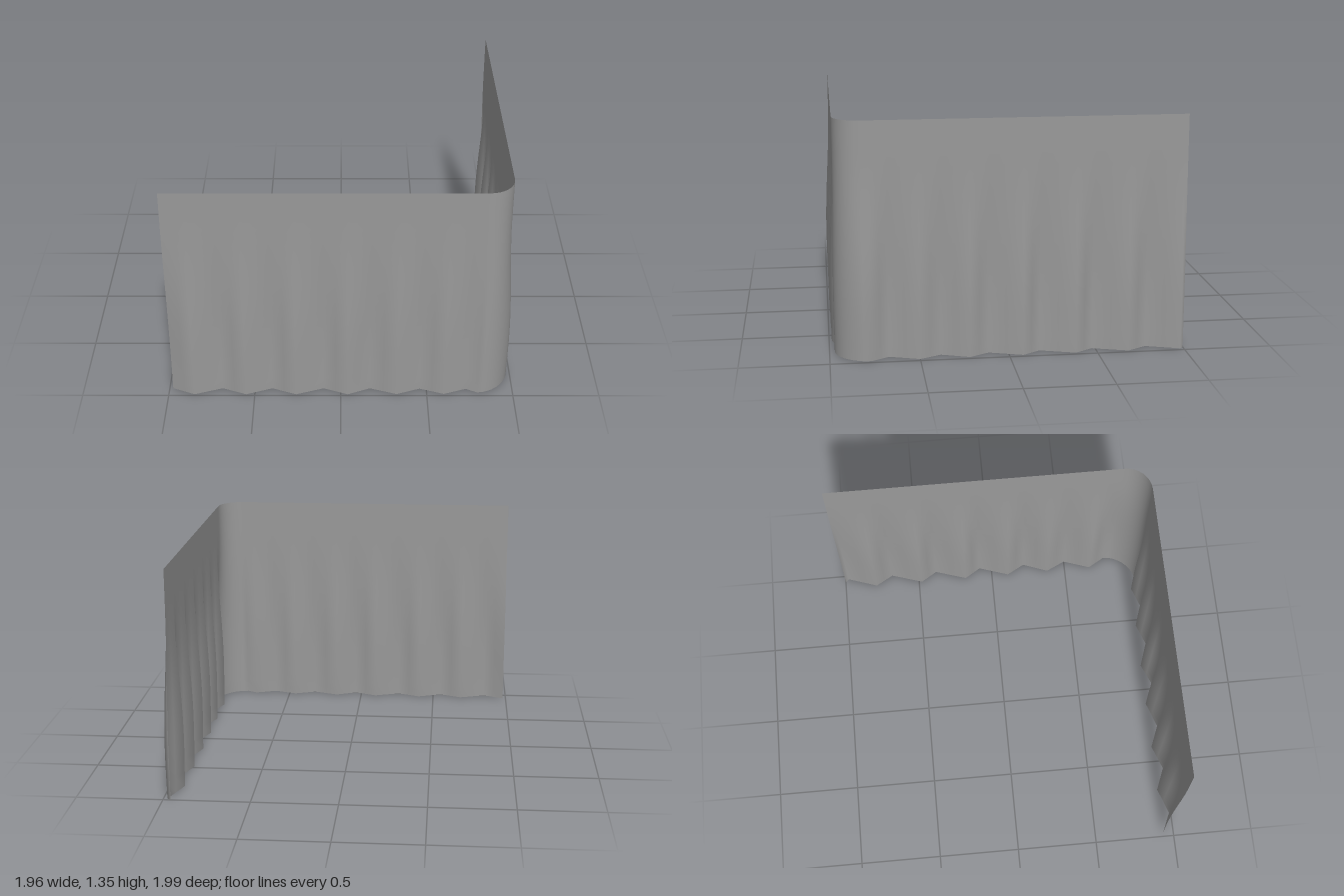
import * as THREE from 'three';

const HEIGHT = 1.345, FRONT_Z = 0.96, SIDE_X = 0.945, RADIUS = 0.15, ROWS = 16;

// Fold depth along each run: [position, outward offset] at the hem
const frontFolds = [
  [-0.98, -0.03], [-0.85, 0.033], [-0.69, -0.03], [-0.55, 0.033], [-0.4, -0.03], [-0.26, 0.033],
  [-0.1, -0.03], [0.04, 0.033], [0.17, -0.03], [0.325, 0.03], [0.46, -0.027], [0.6, 0.028],
  [0.73, -0.025],
];
const sideFolds = [
  [0.77, 0.036], [0.67, -0.032], [0.5, 0.034], [0.38, -0.032], [0.22, 0.036], [0.11, -0.035],
  [-0.08, 0.037], [-0.18, -0.036], [-0.38, 0.037], [-0.48, -0.036], [-0.68, 0.037],
  [-0.79, -0.036], [-0.98, 0.037],
];

// Adds a midpoint between neighbouring folds so each slope shades smoothly
function withMidpoints(folds) {
  return folds.flatMap(([p, d], i) => {
    const next = folds[i + 1];
    return next ? [[p, d], [(p + next[0]) / 2, (d + next[1]) / 2]] : [[p, d]];
  });
}

// Columns across the cloth: base position, outward direction, fold depth
function buildColumns() {
  const cols = withMidpoints(frontFolds).map(([x, d]) => ({ x, z: FRONT_Z, nx: 0, nz: 1, d }));
  const cx = SIDE_X - RADIUS, cz = FRONT_Z - RADIUS;
  for (let i = 0; i <= 8; i++) {
    const t = i / 8, a = t * Math.PI / 2, nx = Math.sin(a), nz = Math.cos(a);
    cols.push({ x: cx + RADIUS * nx, z: cz + RADIUS * nz, nx, nz, d: 0.012 * (1 - t) + 0.035 * t ** 3 });
  }
  for (const [z, d] of withMidpoints(sideFolds)) cols.push({ x: SIDE_X, z, nx: 1, nz: 0, d });
  // Free edge turns back in beside the last fold
  cols.push({ x: SIDE_X, z: -1, nx: 1, nz: 0, d: 0.012 });
  return cols;
}

// Folds are fullest a little above the hem and fade out towards the flat top edge
function foldStrength(y) {
  if (y < 0.3) return 0.88 + 0.12 * Math.sin((y / 0.3) * Math.PI / 2);
  return 1 - THREE.MathUtils.smoothstep(y, 0.3, 1.15);
}

function curtainGeometry() {
  const cols = buildColumns(), positions = [], index = [], stride = ROWS + 1;
  cols.forEach((c, i) => {
    for (let j = 0; j <= ROWS; j++) {
      const y = HEIGHT * j / ROWS, offset = c.d * foldStrength(y);
      positions.push(c.x + c.nx * offset, y, c.z + c.nz * offset);
      if (i < cols.length - 1 && j < ROWS) {
        const a = i * stride + j, b = a + stride;
        index.push(a, b, b + 1, a, b + 1, a + 1);
      }
    }
  });
  const geo = new THREE.BufferGeometry();
  geo.setAttribute('position', new THREE.Float32BufferAttribute(positions, 3));
  geo.setIndex(index);
  geo.computeVertexNormals();
  return geo;
}

export function createModel() {
  const group = new THREE.Group();
  group.name = 'cornerCurtain';
  const material = new THREE.MeshStandardMaterial({ color: 0x999999, side: THREE.DoubleSide });
  const curtain = new THREE.Mesh(curtainGeometry(), material);
  curtain.name = 'curtain';
  group.add(curtain);
  return group;
}
